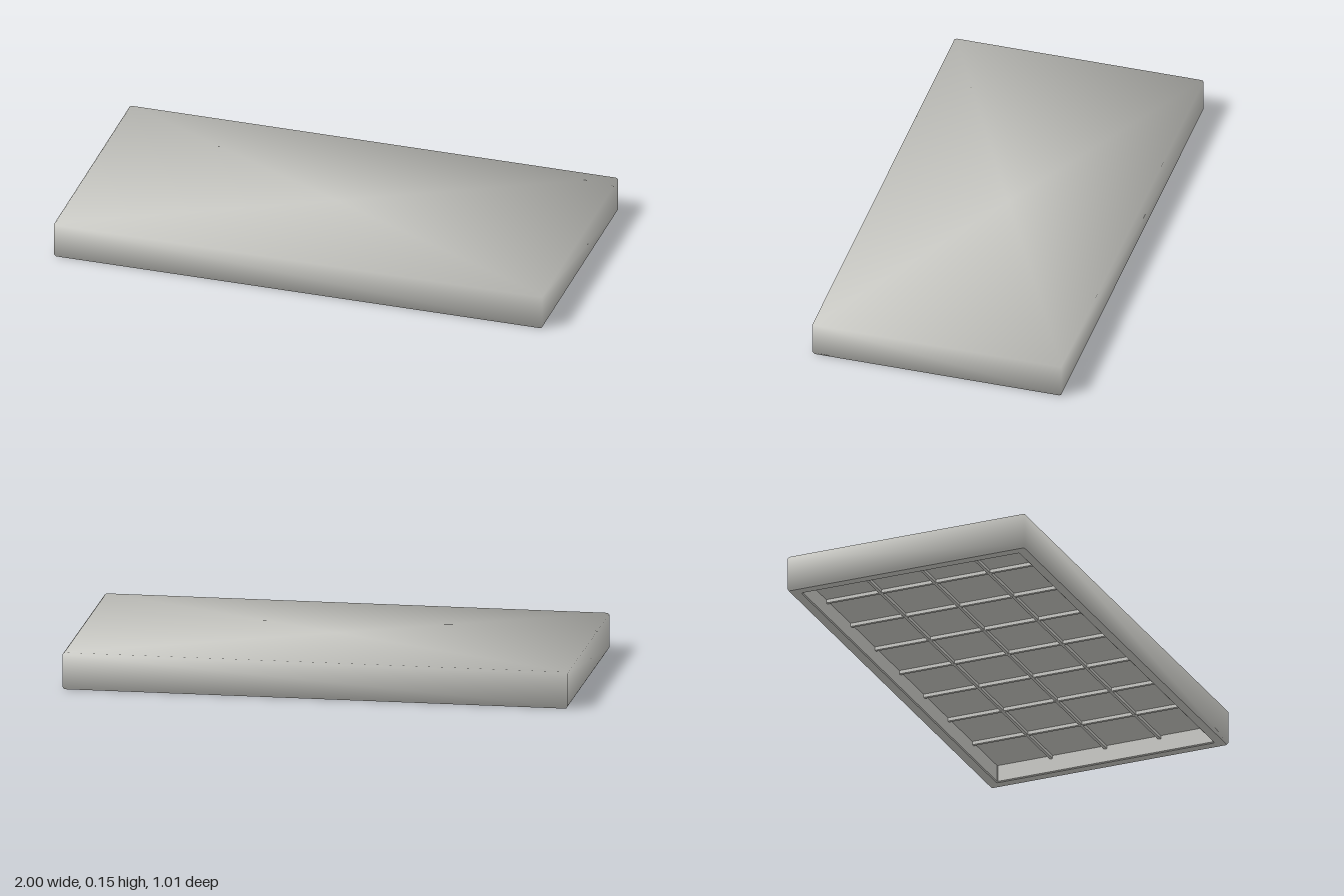
import * as THREE from 'three';

const HX = 1, HZ = 0.507, TOP = 0.147, FLOOR = 0.072;

// Rectangle with clipped corners, inset from the outer footprint
function ring(inset, y, clip) {
  const x = HX - inset, z = HZ - inset, c = clip;
  return [[x, z - c], [x - c, z], [c - x, z], [-x, z - c], [-x, c - z], [c - x, -z], [x - c, -z], [x, c - z]]
    .map(([px, pz]) => new THREE.Vector3(px, y, pz));
}

const point = (y) => Array.from({ length: 8 }, () => new THREE.Vector3(0, y, 0));

// Joins consecutive rings, from the top centre down and under, with outward facing quads
function loft(rings) {
  const pos = [], index = [], n = 8;
  rings.forEach((r) => r.forEach((p) => pos.push(p.x, p.y, p.z)));
  for (let i = 0; i < rings.length - 1; i++) {
    for (let j = 0; j < n; j++) {
      const a = i * n + j, b = i * n + (j + 1) % n, c = a + n, d = b + n;
      index.push(a, b, c, b, d, c);
    }
  }
  const g = new THREE.BufferGeometry();
  g.setAttribute('position', new THREE.Float32BufferAttribute(pos, 3));
  g.setIndex(index);
  return g;
}

export function createModel() {
  const group = new THREE.Group();
  const grey = new THREE.MeshStandardMaterial({ color: 0xc9c9c4 });
  grey.name = 'light grey';
  const add = (geometry, name, parent = group) => {
    const mesh = new THREE.Mesh(geometry, grey);
    mesh.name = name;
    parent.add(mesh);
    return mesh;
  };

  // Outer shell: top and sides, with soft normals shared across the edges
  const shell = loft([
    point(TOP), ring(0.006, TOP, 0.004), ring(0, TOP - 0.006, 0.005),
    ring(0, 0.008, 0.005), ring(0.005, 0, 0.004),
  ]);
  const p = shell.attributes.position, normals = [];
  for (let i = 0; i < p.count; i++) {
    const v = new THREE.Vector3(Math.sign(p.getX(i)), p.getY(i) > TOP / 2 ? 1 : -1, Math.sign(p.getZ(i)));
    normals.push(...v.normalize().toArray());
  }
  shell.setAttribute('normal', new THREE.Float32BufferAttribute(normals, 3));
  add(shell, 'outerShell');

  // Underside: rim, inner walls and recessed floor with crisp edges
  const under = loft([
    ring(0.005, 0, 0.004), ring(0.042, 0, 0.004), ring(0.046, 0.004, 0.004),
    ring(0.046, FLOOR, 0.004), point(FLOOR),
  ]).toNonIndexed();
  under.computeVertexNormals();
  add(under, 'undersideRecess');

  // Grid of stiffening ribs on the recessed floor
  const ribs = new THREE.Group();
  ribs.name = 'ribs';
  group.add(ribs);
  const ix = HX - 0.046, iz = HZ - 0.046, w = 0.012, h = 0.014;
  const cross = new THREE.BoxGeometry(w, h, 2 * iz);
  for (let i = 1; i < 8; i++) {
    add(cross, 'crossRib', ribs).position.set(-ix + (2 * ix * i) / 8, FLOOR - h / 2, 0);
  }
  const long = new THREE.BoxGeometry(2 * ix, h, w);
  for (let i = 1; i < 4; i++) {
    add(long, 'longRib', ribs).position.set(0, FLOOR - h / 2 + 0.0005, -iz + (2 * iz * i) / 4);
  }
  return group;
}
